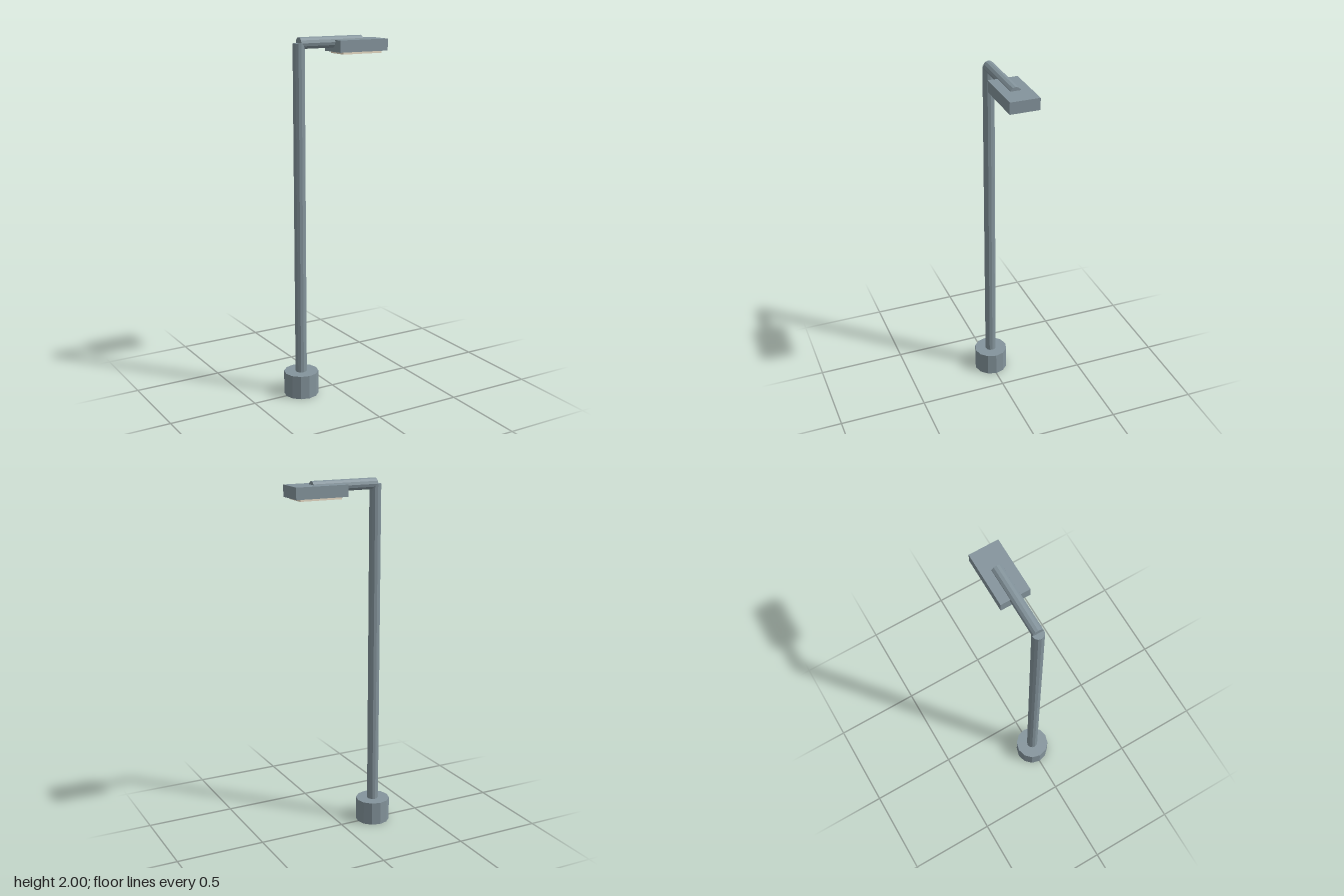
import * as THREE from 'three';

export function createModel() {
  const group = new THREE.Group();
  const metal = new THREE.MeshStandardMaterial({ name: 'greyMetal', color: 0x84949c, flatShading: true });
  const glow = new THREE.MeshStandardMaterial({ name: 'creamLight', color: 0xf8ecd4, flatShading: true });

  const add = (name, geometry, material, x, y) => {
    const mesh = new THREE.Mesh(geometry, material);
    mesh.name = name;
    mesh.position.set(x, y, 0);
    group.add(mesh);
    return mesh;
  };
  const rod = (radius, length) => new THREE.CylinderGeometry(radius, radius, length, 12);

  const poleX = -0.205;

  // Footing and upright
  add('base', rod(0.097, 0.134), metal, poleX, 0.067);
  add('pole', rod(0.032, 1.968), metal, poleX, 0.984);

  // Horizontal arm from the pole top into the lamp head
  const arm = add('arm', rod(0.031, 0.383), metal, poleX + 0.1915, 1.969);
  arm.rotation.z = -Math.PI / 2;

  // Lamp head with its light panel underneath
  add('lampHead', new THREE.BoxGeometry(0.301, 0.064, 0.162), metal, 0.1515, 1.948);
  add('lightPanel', new THREE.BoxGeometry(0.242, 0.012, 0.134), glow, 0.1515, 1.91);

  return group;
}
